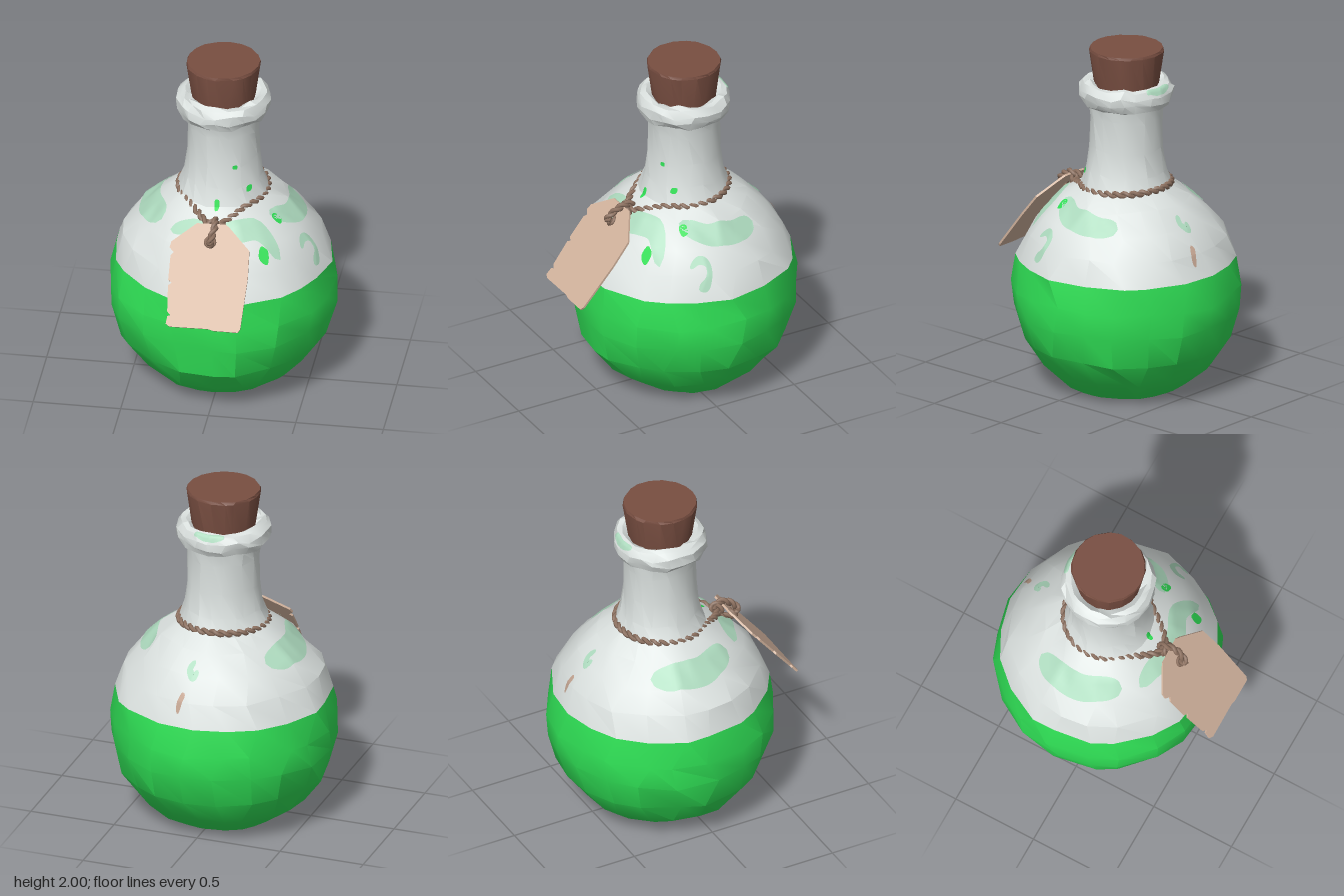
import * as THREE from 'three';
import { toCreasedNormals } from 'three/addons/utils/BufferGeometryUtils.js';

const AXIS_Z = -0.067; // bottle axis, set back to balance the tag
const FILL = 0.76;     // liquid level

function mat(name, color, side = THREE.FrontSide) {
  const m = new THREE.MeshStandardMaterial({ color, side });
  m.name = name;
  return m;
}

function hash(a, b, c) {
  const s = Math.sin(a * 12.9898 + b * 78.233 + c * 37.719) * 43758.5453;
  return s - Math.floor(s) - 0.5;
}

// Lathe with slightly irregular, hand-cut facets; rows at fixed heights stay level
function roughLathe(profile, segments, amount, fixed, crease) {
  const geo = new THREE.LatheGeometry(profile.map(p => new THREE.Vector2(...p)), segments);
  const pos = geo.attributes.position;
  const rows = profile.length;
  for (let k = 0; k < pos.count; k++) {
    const i = Math.floor(k / rows) % segments;
    const [r, y] = profile[k % rows];
    const level = fixed.includes(y);
    const a = (i + hash(i, y, 1) * 0.5) / segments * Math.PI * 2;
    const rr = r * (1 + hash(i, y, 2) * amount);
    const yy = level ? y : y + hash(i, y, 3) * amount * 0.8;
    pos.setXYZ(k, Math.sin(a) * rr, yy, Math.cos(a) * rr + AXIS_Z);
  }
  return toCreasedNormals(geo, crease);
}

// Strand winding around a guide curve
class Strand extends THREE.Curve {
  constructor(path, turns, radius, phase) {
    super();
    Object.assign(this, { path, turns, radius, phase });
  }
  getPoint(t, target = new THREE.Vector3()) {
    const p = this.path.getPointAt(t);
    const tan = this.path.getTangentAt(t);
    const n = new THREE.Vector3(0.1, 1, 0.2).cross(tan).normalize();
    const b = tan.clone().cross(n);
    const a = t * this.turns * Math.PI * 2 + this.phase;
    return target.copy(p).addScaledVector(n, Math.cos(a) * this.radius).addScaledVector(b, Math.sin(a) * this.radius);
  }
}

function twistedRope(name, points, material, closed = true) {
  const g = new THREE.Group();
  g.name = name;
  const path = new THREE.CatmullRomCurve3(points.map(p => new THREE.Vector3(...p)), closed, 'centripetal');
  const turns = Math.round(path.getLength() / 0.1);
  for (let s = 0; s < 2; s++) {
    const tube = new THREE.TubeGeometry(new Strand(path, turns, 0.011, s * Math.PI), turns * 10, 0.0125, 6, closed);
    const mesh = new THREE.Mesh(tube, material);
    mesh.name = name + 'Strand';
    g.add(mesh);
  }
  return g;
}

// Painted ribbon laid on a surface, aimed either down (x, z) or from the front (x, y)
function paint(name, target, points, width, material, aim = 'down') {
  const path = new THREE.CatmullRomCurve3(points.map(p => new THREE.Vector3(p[0], p[1], 0)));
  const ray = new THREE.Raycaster();
  const L = 28, W = 6, verts = [], index = [];
  for (let i = 0; i <= L; i++) {
    const t = i / L, p = path.getPointAt(t), d = path.getTangentAt(t);
    const half = width / 2 * Math.pow(Math.max(0, 1 - Math.pow(2 * t - 1, 4)), 0.5);
    for (let j = 0; j <= W; j++) {
      const o = (j / W * 2 - 1) * half;
      const u = p.x - d.y * o, v = p.y + d.x * o;
      if (aim === 'down') ray.set(new THREE.Vector3(u, 1.95, v), new THREE.Vector3(0, -1, 0));
      else ray.set(new THREE.Vector3(u, v, 2), new THREE.Vector3(0, 0, -1));
      const hit = ray.intersectObject(target)[0];
      const q = hit ? hit.point.addScaledVector(hit.face.normal, 0.006) : new THREE.Vector3(...verts.slice(-3));
      verts.push(q.x, q.y, q.z);
      if (i < L && j < W) {
        const a = i * (W + 1) + j, b = a + W + 1;
        index.push(a, b, a + 1, b, b + 1, a + 1);
      }
    }
  }
  // turn the faces outward
  const geo = new THREE.BufferGeometry();
  geo.setAttribute('position', new THREE.Float32BufferAttribute(verts, 3));
  geo.setIndex(aim === 'down' ? index : index.reverse());
  geo.computeVertexNormals();
  const n = geo.attributes.normal, mid = 14 * (W + 1) + 3;
  if ((aim === 'down' ? n.getY(mid) : n.getZ(mid)) < 0) {
    geo.setIndex([...geo.index.array].reverse());
    geo.computeVertexNormals();
  }
  const mesh = new THREE.Mesh(geo, material);
  mesh.name = name;
  return mesh;
}

export function createModel() {
  const model = new THREE.Group();
  model.name = 'potionBottle';
  const glass = mat('glass', 0xdbe1df);
  const potion = mat('potion', 0x2fdf55);
  const residue = mat('residue', 0xaedbbf);
  const stain = mat('stain', 0xc4a592);
  const cork = mat('cork', 0x784e41);
  const rope = mat('rope', 0x8d7160);
  const paper = mat('paper', 0xd2b39d);

  const add = (name, geo, material) => {
    const mesh = new THREE.Mesh(geo, material);
    mesh.name = name;
    model.add(mesh);
    return mesh;
  };

  // Liquid-filled lower bowl
  add('liquid', roughLathe([[0, 0], [0.31, 0], [0.36, 0.03], [0.48, 0.13], [0.585, 0.28], [0.638, 0.46],
    [0.645, 0.6], [0.622, FILL]], 20, 0.035, [0, FILL], 0.42), potion);

  // Clear shoulders, neck and rolled lip
  const upper = add('glassUpper', roughLathe([[0.622, FILL], [0.565, 0.9], [0.47, 1.02], [0.36, 1.12], [0.26, 1.19],
    [0.225, 1.28], [0.208, 1.42], [0.205, 1.6], [0.215, 1.67], [0.25, 1.685], [0.268, 1.72], [0.268, 1.765],
    [0.245, 1.8], [0.215, 1.81], [0.17, 1.78]], 20, 0.035, [FILL], 0.42), glass);

  // Cork stopper
  add('cork', roughLathe([[0, 1.75], [0.178, 1.75], [0.212, 1.985], [0.206, 2], [0, 2]], 18, 0.02,
    [1.75, 1.985, 2], 0.5), cork);

  // Dried residue inside the glass, as x/z paths
  const residues = [
    [[[-0.34, -0.31], [-0.4, -0.18], [-0.41, -0.02], [-0.31, 0.19]], 0.12],
    [[[0.35, -0.31], [0.41, -0.15], [0.4, 0], [0.29, 0.13]], 0.1],
    [[[0.38, 0.3], [0.24, 0.25], [0.12, 0.3], [0, 0.33], [-0.12, 0.29], [-0.25, 0.27]], 0.1],
    [[[0.475, 0.16], [0.475, 0.1], [0.51, 0.06], [0.55, 0.08], [0.545, 0.14]], 0.03],
    [[[-0.01, -0.5], [0.01, -0.53], [0.04, -0.5], [0.02, -0.46]], 0.035],
    [[[-0.09, -0.295], [0, -0.31], [0.09, -0.295]], 0.025],
  ];
  for (const [pts, w] of residues) model.add(paint('residueSmear', upper, pts, w, residue));
  model.add(paint('stainMark', upper, [[0.04, -0.59], [0.055, -0.61], [0.07, -0.635]], 0.03, stain));

  // Bright splashes
  for (const [x, z, r] of [[0.33, 0.115, 0.027], [0.29, 0.33, 0.028]])
    model.add(paint('splash', upper, [[x - r, z], [x, z + 0.004], [x + r, z]], r * 1.8, potion));
  for (const [x, y, r] of [[0.09, 1.415, 0.013], [0.165, 1.27, 0.018], [0, 1.2, 0.03]])
    model.add(paint('drip', upper, [[x, y + r], [x + 0.002, y], [x, y - r]], 0.027, potion, 'front'));

  // Rope around the neck, drawn together in front
  const ring = [[0, 1.125, 0.29]];
  for (let i = 1; i < 16; i++) {
    const a = i / 16 * Math.PI * 2 * 0.86 + Math.PI * 0.14;
    ring.push([Math.sin(a) * 0.25, 1.19 - Math.cos(a) * 0.015, AXIS_Z + Math.cos(a) * 0.25]);
  }
  model.add(twistedRope('neckRope', ring, rope));

  // Cord from the knot through the tag hole
  model.add(twistedRope('tagCord', [[0, 1.15, 0.27], [0.015, 1.16, 0.35], [0, 1.1, 0.425], [-0.005, 1.065, 0.405],
    [-0.01, 1.07, 0.35], [-0.01, 1.1, 0.29]], rope));
  const knot = add('knot', new THREE.TorusKnotGeometry(0.026, 0.012, 48, 6, 2, 3), rope);
  knot.position.set(0, 1.125, 0.305);
  const eyelet = add('eyeletCord', new THREE.TorusGeometry(0.026, 0.01, 6, 12), rope);
  eyelet.position.set(-0.005, 1.08, 0.4);
  eyelet.rotation.x = -0.68;

  // Worn paper tag leaning outward
  const outline = [[-0.09, -0.005], [0.075, 0], [0.1, -0.02], [0.222, -0.14], [0.228, -0.3], [0.213, -0.59], [0.2, -0.61],
    [0.06, -0.61], [0.03, -0.602], [-0.19, -0.605], [-0.212, -0.59], [-0.207, -0.545], [-0.19, -0.54], [-0.21, -0.52],
    [-0.22, -0.37], [-0.2, -0.355], [-0.222, -0.34], [-0.222, -0.2], [-0.205, -0.18], [-0.232, -0.155], [-0.225, -0.12]];
  const shape = new THREE.Shape(outline.map(p => new THREE.Vector2(...p)));
  shape.holes.push(new THREE.Path().absarc(-0.005, -0.105, 0.022, 0, Math.PI * 2, true));
  const tag = add('tag', new THREE.ExtrudeGeometry(shape, { depth: 0.012, bevelEnabled: false, curveSegments: 8 }), paper);
  tag.position.set(0, 1.155, 0.322);
  tag.rotation.x = -0.68;

  return model;
}
